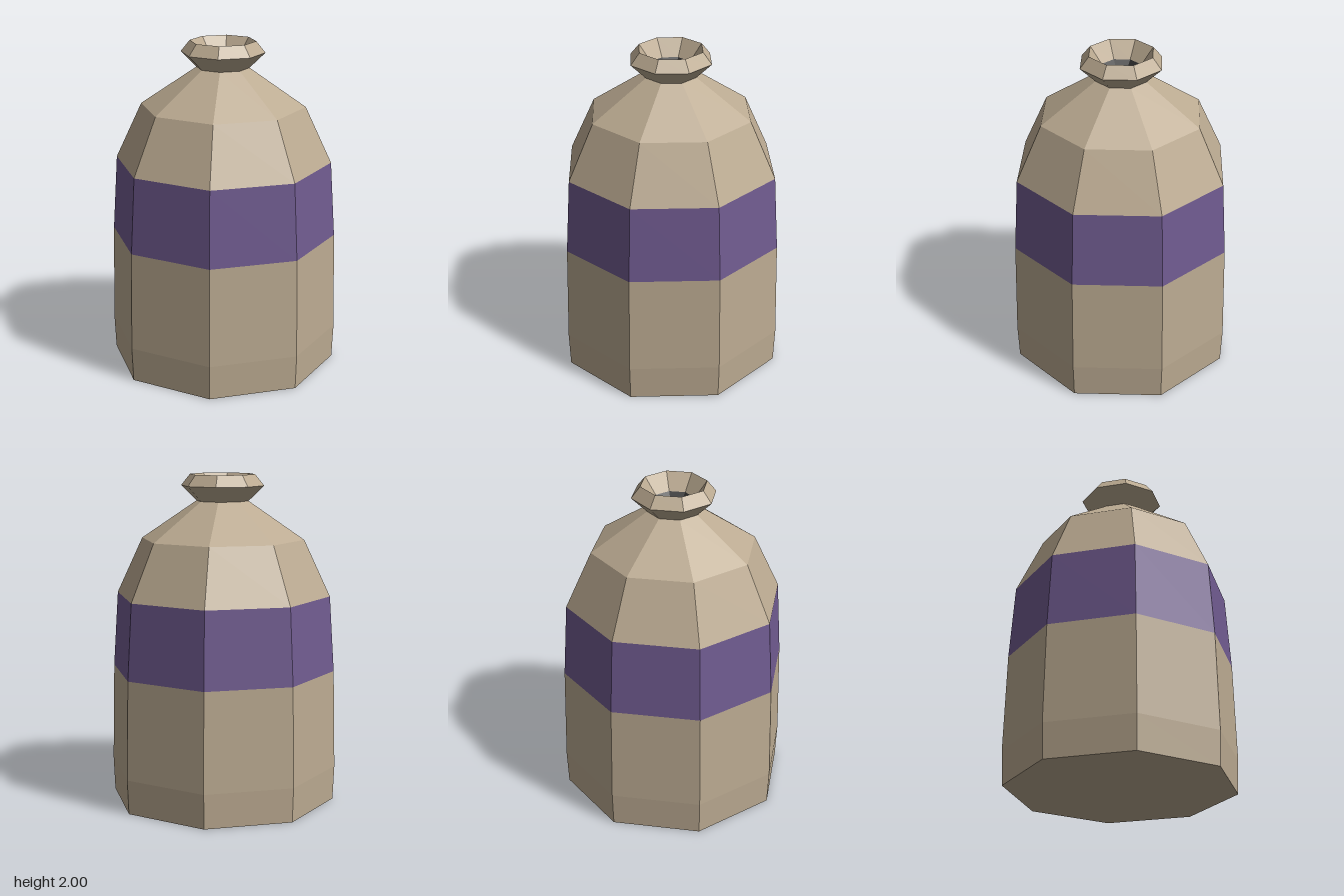
import * as THREE from 'three';

const SIDES = 8;
// Profiles are given as [distance to flat side, height]
const TO_CORNER = 1 / Math.cos(Math.PI / SIDES);

export function createModel() {
  const group = new THREE.Group();
  group.name = 'jar';

  const clay = new THREE.MeshStandardMaterial({ color: 0xbcab92 });
  clay.name = 'clay';
  const purple = new THREE.MeshStandardMaterial({ color: 0x705b90 });
  purple.name = 'purple glaze';
  const dark = new THREE.MeshStandardMaterial({ color: 0x2e2e2e });
  dark.name = 'dark interior';

  // Faceted eight-sided ring surface with flat sides facing x and z
  function addRing(name, profile, material) {
    const points = profile.map(([r, y]) => new THREE.Vector2(r * TO_CORNER, y));
    const geometry = new THREE.LatheGeometry(points, SIDES, Math.PI / SIDES).toNonIndexed();
    geometry.computeVertexNormals();
    const mesh = new THREE.Mesh(geometry, material);
    mesh.name = name;
    group.add(mesh);
  }

  // Closed base and lower wall
  addRing('lowerBody', [[0, 0], [0.64, 0], [0.648, 0.21], [0.635, 0.81]], clay);
  // Painted band
  addRing('band', [[0.635, 0.81], [0.607, 1.27]], purple);
  // Sloping shoulder up to the neck
  addRing('shoulder', [[0.607, 1.27], [0.46, 1.61], [0.147, 1.84]], clay);
  // Flared lip, turning over into the mouth
  addRing('lip', [[0.147, 1.84], [0.234, 1.932], [0.183, 2], [0.116, 1.9]], clay);
  // Dark funnel inside the mouth
  addRing('mouth', [[0.116, 1.9], [0, 1.77]], dark);

  return group;
}
